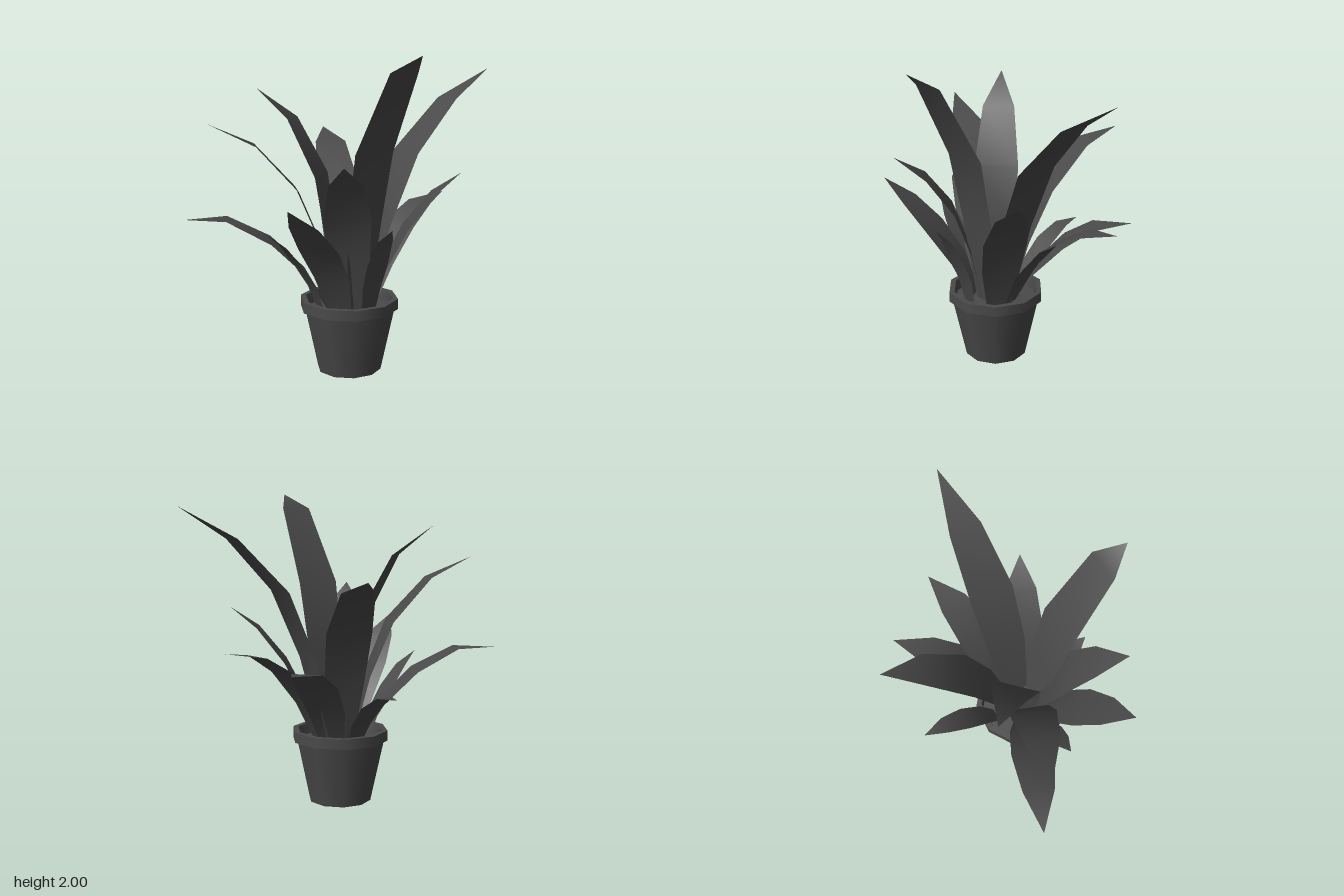
import * as THREE from 'three';

const charcoal = new THREE.MeshStandardMaterial({ color: 0x4a4a4a, side: THREE.DoubleSide });
charcoal.name = 'charcoal';

const CROWN = new THREE.Vector3(0.03, 0.38, 0.1);
const TAPER = [0.55, 0.9, 1, 0.72, 0];

// Each leaf: tip x, y, z, then how far out and how far up (0 to 1) its middle and shoulder sit
const tallLeaves = [
  [0.70, 2.0, 0.20, 0.28, 0.64, 0.74, 0.94],
  [0.305, 1.9, -0.92, 0.34, 0.66, 0.66, 0.875],
  [-0.49, 1.79, 0.415, 0.2, 0.62, 0.55, 0.87],
  [-0.47, 1.59, 0.81, 0.32, 0.66, 0.64, 0.89],
  [-0.705, 1.48, -0.355, 0.34, 0.69, 0.67, 0.93],
  [0.45, 1.39, 0.56, 0.33, 0.65, 0.64, 0.87],
];
const lowLeaves = [
  [0.495, 1.27, -0.42, 0.38, 0.61, 0.69, 0.855],
  [0.27, 1.16, 0.82, 0.45, 0.615, 0.72, 0.83],
  [-0.60, 1.0, 0.91, 0.41, 0.77, 0.71, 1.0],
  [0.03, 1.05, -0.80, 0.41, 0.745, 0.69, 0.94],
  [-0.415, 0.955, -0.66, 0.43, 0.765, 0.67, 0.955],
];
const smallLeaves = [
  [0.485, 0.99, 0.20, 0.42, 0.61, 0.72, 0.87],
  [-0.115, 0.95, 0.665, 0.43, 0.6, 0.71, 0.84],
  [-0.68, 0.785, -0.09, 0.45, 0.765, 0.73, 0.975],
];

// A bent blade: it rises from a root beside the crown and closes to a point
function leafGeometry([x, y, z, midOut, midUp, shoulderOut, shoulderUp], width, reach) {
  const tip = new THREE.Vector3(x, y, z);
  const dir = tip.clone().sub(CROWN).setY(0).normalize();
  const side = new THREE.Vector3(dir.z, 0, -dir.x);
  const root = CROWN.clone().addScaledVector(dir, reach);
  const out = [0, midOut * 0.42, midOut, shoulderOut, 1];
  const up = [0, midUp * 0.56, midUp, shoulderUp, 1];
  const pos = [];
  const index = [];
  TAPER.forEach((taper, i) => {
    const c = root.clone().lerp(tip, out[i]);
    c.y = THREE.MathUtils.lerp(root.y, tip.y, up[i]);
    for (const s of taper ? [-0.5, 0.5] : [0]) {
      pos.push(...c.clone().addScaledVector(side, s * width * taper).toArray());
    }
    if (i < 3) index.push(2 * i, 2 * i + 1, 2 * i + 3, 2 * i, 2 * i + 3, 2 * i + 2);
  });
  index.push(6, 7, 8);
  const geo = new THREE.BufferGeometry();
  geo.setAttribute('position', new THREE.Float32BufferAttribute(pos, 3));
  geo.setIndex(index);
  geo.computeVertexNormals();
  return geo;
}

function leafRing(name, specs, width, reach) {
  const ring = new THREE.Group();
  ring.name = name;
  for (const spec of specs) {
    const leaf = new THREE.Mesh(leafGeometry(spec, width, reach), charcoal);
    leaf.name = 'leaf';
    ring.add(leaf);
  }
  return ring;
}

export function createModel() {
  const model = new THREE.Group();
  model.name = 'pottedPlant';

  // Ten-sided pot, one band per profile edge so the rim stays crisp
  const pot = new THREE.Group();
  pot.name = 'pot';
  pot.position.set(0.018, 0, 0.1);
  const profile = [
    ['potBase', 0, 0, 0.205, 0],
    ['potWall', 0.205, 0, 0.292, 0.405],
    ['rimUnderside', 0.292, 0.405, 0.315, 0.405],
    ['rimOuter', 0.315, 0.405, 0.315, 0.472],
    ['rimTop', 0.315, 0.472, 0.28, 0.472],
    ['rimInner', 0.28, 0.472, 0.27, 0.4],
    ['soil', 0.27, 0.4, 0, 0.4],
  ];
  for (const [name, r0, y0, r1, y1] of profile) {
    const band = new THREE.LatheGeometry([new THREE.Vector2(r0, y0), new THREE.Vector2(r1, y1)], 10, Math.PI / 2);
    const mesh = new THREE.Mesh(band, charcoal);
    mesh.name = name;
    pot.add(mesh);
  }

  // Rosette of leaves in three tiers
  model.add(
    pot,
    leafRing('tallLeaves', tallLeaves, 0.285, 0.08),
    leafRing('lowLeaves', lowLeaves, 0.275, 0.13),
    leafRing('smallLeaves', smallLeaves, 0.15, 0.2),
  );
  return model;
}
